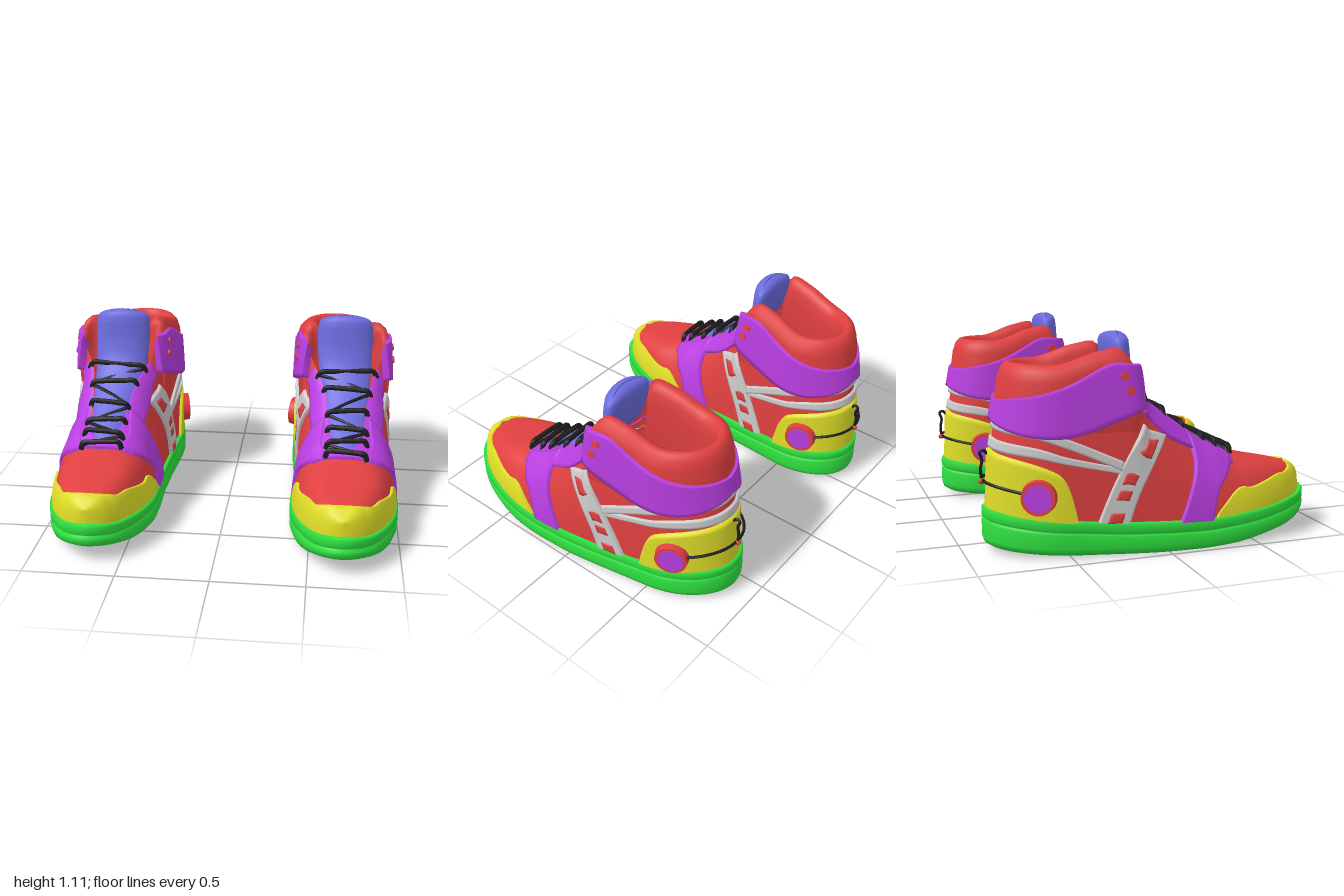
import * as THREE from 'three';
import { mergeVertices } from 'three/addons/utils/BufferGeometryUtils.js';

const RED = 0xe04040, YELLOW = 0xe0de28, GREEN = 0x2ee040, PURPLE = 0xb83ee0, BLUE = 0x6c6ce0, BLACK = 0x1c1c1c, GREY = 0xcccccc;
const V3 = (x, y, z) => new THREE.Vector3(x, y, z);
const { clamp, lerp } = THREE.MathUtils;
const HALF_PI = Math.PI / 2;

// smoothed lookup table of [position, value] pairs
function table(...pts) {
  const at = x => {
    if (x <= pts[0][0]) return pts[0][1];
    for (let i = 1; i < pts.length; i++) {
      const [x0, y0] = pts[i - 1], [x1, y1] = pts[i];
      if (x <= x1) return lerp(y0, y1, (x - x0) / (x1 - x0));
    }
    return pts[pts.length - 1][1];
  };
  return x => (at(x - 0.03) + 2 * at(x) + at(x + 0.03)) / 4;
}

// shoe profiles along its length n (heel -0.87, toe 0.88)
const centreX = table([-0.87, 0.6], [-0.5, 0.635], [-0.2, 0.67], [0, 0.688], [0.3, 0.69], [0.9, 0.675]);
const baseWidth = table([-0.87, 0.245], [-0.5, 0.252], [-0.2, 0.265], [0, 0.276], [0.2, 0.285], [0.4, 0.288], [0.9, 0.284]);
const topWidth = table([-0.87, 0.232], [-0.4, 0.222], [-0.17, 0.22], [-0.1, 0.15], [0, 0.12], [0.3, 0.08], [0.37, 0]);
const topY = table([-0.87, 0.97], [-0.6, 0.965], [-0.5, 0.98], [-0.4, 1.02], [-0.26, 1.05], [-0.2, 1.03], [-0.165, 0.95],
  [-0.135, 0.79], [0, 0.69], [0.2, 0.55], [0.4, 0.455], [0.5, 0.43], [0.6, 0.405], [0.7, 0.387], [0.8, 0.366], [0.85, 0.342], [0.885, 0.29]);
const soleTop = table([-0.88, 0.23], [-0.6, 0.2], [-0.2, 0.17], [0.2, 0.16], [0.5, 0.18], [0.8, 0.21], [0.9, 0.235]);
const soleBottom = table([-0.88, 0.03], [-0.5, 0.01], [-0.1, 0], [0.2, 0], [0.4, 0.012], [0.7, 0.05], [0.9, 0.1]);
const heelZ = table([0.15, -0.86], [0.5, -0.845], [0.65, -0.82], [0.8, -0.79], [1, -0.76]);

// a runs round the shoe: 0 heel, 4 toe, 8 heel again
function fold(a) {
  a = ((a % 8) + 8) % 8;
  return a > 4 ? [8 - a, -1] : [a, 1];
}
function lengthAt(b) {
  if (b < 1) return -0.87 + 0.37 * (1 - Math.cos(b * HALF_PI));
  if (b < 2.56) return -0.5 + (b - 1) * 0.5;
  return 0.28 + 0.6 * Math.sin((b - 2.56) / 1.44 * HALF_PI);
}
function roundAt(b) {
  if (b < 1) return Math.sin(b * HALF_PI);
  return b < 2.56 ? 1 : Math.max(0, Math.cos((b - 2.56) / 1.44 * HALF_PI));
}
function around(n) {
  if (n < -0.5) return Math.acos(clamp(1 - (n + 0.87) / 0.37, -1, 1)) / HALF_PI;
  if (n < 0.28) return 1 + (n + 0.5) / 0.5;
  return 2.56 + 1.44 * Math.asin(clamp((n - 0.28) / 0.6, -1, 1)) / HALF_PI;
}
const baseY = n => soleTop(n) - 0.03;
const heightParam = (n, y) => Math.asin(clamp((y - baseY(n)) / (topY(n) - baseY(n)), 0, 1)) / HALF_PI;

// point and normal on the skin of the upper
function skin(a, v) {
  const [b, s] = fold(a), n = lengthAt(b);
  const y = lerp(baseY(n), topY(n), Math.sin(v * HALF_PI));
  const back = heelZ(y);
  const z = n < -0.5 ? back + (n + 0.87) * (-0.5 - back) / 0.37 : n > 0 ? n * 0.975 : n;
  const power = lerp(1.15, 0.45, THREE.MathUtils.smoothstep(n, 0.1, 0.6));
  const w = lerp(topWidth(n), baseWidth(n), Math.pow(Math.max(0, Math.cos(v * HALF_PI)), power));
  return V3(centreX(z) + s * w * roundAt(b), y, z);
}
function skinNormal(a, v) {
  v = clamp(v, 0.02, 0.96);
  const e = 0.015;
  return skin(a, v + e).sub(skin(a, v - e)).cross(skin(a + e, v).sub(skin(a - e, v))).normalize();
}
// lifted point; points on the centre line stay on it so both halves weld
function lifted(a, v, off) {
  const p = skin(a, v), centred = Math.abs(p.x - centreX(p.z)) < 1e-3;
  p.addScaledVector(skinNormal(a, v), off);
  if (centred) p.x = centreX(p.z);
  return p;
}
const onSkin = (a, y, off) => lifted(a, heightParam(lengthAt(fold(a)[0]), y), off);

function mesh(name, color, geometry) {
  const m = new THREE.Mesh(geometry, new THREE.MeshStandardMaterial({ color, side: THREE.DoubleSide }));
  m.name = name;
  return m;
}
// smooth surface from a grid of points
function grid(cols) {
  const rows = cols[0].length, index = [];
  for (let i = 0; i + 1 < cols.length; i++) for (let j = 0; j + 1 < rows; j++) {
    const p = i * rows + j, q = p + rows;
    index.push(p, p + 1, q, q, p + 1, q + 1);
  }
  let g = new THREE.BufferGeometry().setFromPoints(cols.flat());
  g.setIndex(index);
  g = mergeVertices(g, 1e-4);
  g.computeVertexNormals();
  return g;
}
const steps = n => [0, 0.02, ...Array.from({ length: n - 1 }, (_, i) => (i + 1) / n), 0.98, 1].sort((p, q) => p - q);
function edge(e) {
  if (typeof e === 'function') return e;
  const c = new THREE.SplineCurve(e.map(([n, y]) => new THREE.Vector2(around(n), y)));
  return u => c.getPoint(u).toArray();
}
// raised panel between two edges given as [length, height] points
function panel(name, color, lower, upper, off, { wrap, side = 1, u = [0, 1], w = [0, 1], nu = 24, nv = 10 } = {}) {
  const lo = edge(lower), hi = edge(upper), us = steps(nu), ws = steps(nv);
  return mesh(name, color, grid(us.map((uu, i) => {
    const t = wrap ? uu * 2 - 1 : lerp(u[0], u[1], uu);
    const k = wrap === 'toe' ? 1 - Math.abs(t) : Math.abs(t);
    const [a0, y0] = lo(k), [a1, y1] = hi(k);
    const v0 = heightParam(lengthAt(a0), y0), v1 = heightParam(lengthAt(a1), y1);
    return ws.map((ww, j) => {
      const f = lerp(w[0], w[1], ww), b = lerp(a0, a1, f), v = lerp(v0, v1, f);
      const a = (wrap ? t < 0 : side < 0) ? -b : b;
      const border = (j === 0 || (j === ws.length - 1 && v < 0.995) || i === 0 || i === us.length - 1);
      return lifted(a, v, off && border ? -0.008 : off);
    });
  })));
}
const tube = (name, pts, r) => mesh(name, BLACK, new THREE.TubeGeometry(new THREE.CatmullRomCurve3(pts), 28, r, 7));

function sole() {
  // [inset, share of bottom/top, lift]; an inset of 1 closes on the centre line
  const rows = [[1, 0, 0], [0.03, 0, 0], [0.008, 0, 0.015], [0, 0, 0.04], [0, 1, -0.075], [0.012, 1, -0.066], [0.012, 1, -0.058], [0, 1, -0.05], [0, 1, -0.012], [0.01, 1, 0], [1, 1, 0]];
  return mesh('sole', GREEN, grid(Array.from({ length: 97 }, (_, i) => {
    const [b, s] = fold(i / 12), n = lengthAt(b);
    return rows.map(([inset, top, lift]) => {
      const z = n * 1.024 * (inset === 1 ? 0.965 : 1 - inset / 0.88);
      const w = inset === 1 ? 0 : (baseWidth(n) + 0.02) * roundAt(b) * (1 - inset / 0.3);
      return V3(centreX(z) + s * w, (top ? soleTop(n) : soleBottom(n)) + lift, z);
    });
  })));
}

function insole() {
  return mesh('insole', GREEN, grid(Array.from({ length: 30 }, (_, i) => {
    const b = i * 0.09, z = Math.max(lengthAt(b), -0.83);
    return [1, 0, -1].map(s => V3(centreX(z) + s * 0.21 * roundAt(b), 0.26, z));
  })));
}

// padded collar with its lining, thicker along the sides than at the heel
function collar() {
  const end = around(-0.165), cols = [];
  for (let i = 0; i <= 64; i++) {
    const a = lerp(-end, end, i / 64), n = lengthAt(Math.abs(a)), h = topY(n);
    const thick = lerp(0.85, 1.2, roundAt(Math.abs(a)) ** 2);
    cols.push([[-0.012, 0.58], [0.008, 0.66], [0.022, 0.78], [0.022, h - 0.08], [0.012, h - 0.03], [-0.008, h - 0.005], [-0.03, h],
      [-0.052, h - 0.012], [-0.074, h - 0.05], [-0.084, h - 0.12], [-0.086, 0.75], [-0.08, 0.6], [-0.07, 0.4], [-0.06, 0.25]].map(([off, y]) => {
      const v = heightParam(n, y), d = skinNormal(a, v).setY(0).normalize();
      return skin(a, v).addScaledVector(d, off < 0 ? off * thick : off);
    }));
  }
  const cap = col => {
    const c = col.reduce((s, p) => s.add(p), V3(0, 0, 0)).divideScalar(col.length);
    return col.map(() => c.clone());
  };
  return mesh('collar', RED, grid([cap(cols[0]), ...cols, cap(cols[64])]));
}

function tongue() {
  // [z, y, half width, half thickness, droop of the sides]
  const rings = [[0.4, 0.425, 0.05, 0.008, 0], [0.3, 0.49, 0.09, 0.018, 0], [0.15, 0.58, 0.115, 0.022, 0], [0, 0.68, 0.13, 0.025, 0], [-0.1, 0.765, 0.148, 0.03, 0],
    [-0.155, 0.86, 0.157, 0.042, 0], [-0.18, 0.96, 0.162, 0.05, 0.005], [-0.19, 1.03, 0.162, 0.055, 0.01], [-0.193, 1.075, 0.155, 0.053, 0.018],
    [-0.194, 1.097, 0.145, 0.042, 0.022], [-0.194, 1.108, 0.13, 0.024, 0.025], [-0.194, 1.111, 0.11, 0.003, 0.02]];
  const cols = rings.map(([z, y, w, h, droop], i) => {
    const p = rings[Math.max(0, i - 1)], q = rings[Math.min(rings.length - 1, i + 1)];
    const dir = new THREE.Vector2(q[0] - p[0], q[1] - p[1]).normalize();
    return Array.from({ length: 33 }, (_, j) => {
      const t = -j / 32 * Math.PI * 2, c = Math.cos(t);
      const x = Math.sign(c) * Math.pow(Math.abs(c), 0.7), k = h * Math.sin(t) - 0.025 * x * x;
      return V3(centreX(z) - 0.006 + w * x, y - dir.x * k - droop * x * x, z + dir.y * k);
    });
  });
  return mesh('tongue', BLUE, grid(cols));
}

// crossbars with thinner slanted strands between them
function laces() {
  const g = new THREE.Group();
  g.name = 'laces';
  const rows = [-0.095, 0.005, 0.13, 0.235, 0.32, 0.395];
  const strand = (z0, z1, rise, r) => tube('lace', [-1.15, -1, -0.5, 0, 0.5, 1, 1.15].map(k => {
    const z = lerp(z0, z1, (k + 1.15) / 2.3), w = Math.max(topWidth(z), 0.1);
    return V3(centreX(z) + k * w, topY(z) + (Math.abs(k) > 1 ? -0.005 : rise + 0.006 * (1 - k * k)), z);
  }), r);
  rows.forEach((z, i) => {
    const slant = i % 2 ? 0.008 : -0.008;
    g.add(strand(z - slant, z + slant, 0.034, 0.015));
    if (i) g.add(i % 2 ? strand(rows[i - 1], z, 0.012, 0.01) : strand(z, rows[i - 1], 0.012, 0.01));
  });
  return g;
}

function disc(name, color, a, y, radius, thick, off) {
  const m = mesh(name, color, new THREE.CylinderGeometry(radius * 0.94, radius, thick, 32));
  const d = skinNormal(a, heightParam(lengthAt(fold(a)[0]), y));
  m.position.copy(onSkin(a, y, off));
  m.quaternion.setFromUnitVectors(V3(0, 1, 0), d);
  return m;
}

function buildShoe() {
  const g = new THREE.Group();
  g.add(sole(), insole(), collar(), tongue(), laces());
  g.add(panel('upper', RED, u => [4 * u, 0], u => {
    const n = lengthAt(4 * u);
    return [4 * u, n < -0.15 ? Math.min(0.9, topY(n)) : 2];
  }, 0, { wrap: 'heel', nu: 120, nv: 16 }));
  g.add(panel('toeCap', YELLOW, [[0.24, 0], [0.36, 0], [0.48, 0], [0.6, 0], [0.72, 0], [0.81, 0], [0.88, 0]],
    [[0.26, 0.17], [0.36, 0.275], [0.42, 0.305], [0.49, 0.3], [0.66, 0.335], [0.78, 0.352], [0.88, 0.5]], 0.012, { wrap: 'toe', nu: 72, nv: 14 }));
  g.add(panel('heelCounter', YELLOW, [[-0.87, 0], [-0.77, 0], [-0.65, 0], [-0.54, 0], [-0.46, 0]],
    [[-0.87, 0.53], [-0.76, 0.5], [-0.6, 0.45], [-0.52, 0.38], [-0.47, 0.2]], 0.018, { wrap: 'heel', nu: 48 }));
  g.add(panel('ankleStrap', PURPLE, [[-0.87, 0.68], [-0.72, 0.615], [-0.5, 0.61], [-0.3, 0.67], [-0.13, 0.74]],
    [[-0.87, 0.78], [-0.72, 0.82], [-0.5, 0.88], [-0.3, 0.975], [-0.16, 0.96]], 0.036, { wrap: 'heel', nu: 64 }));
  // side stripes that sweep round the heel
  g.add(panel('upperStripe', GREY, [[-0.87, 0.635], [-0.7, 0.61], [-0.5, 0.55], [-0.23, 0.43]],
    [[-0.87, 0.69], [-0.7, 0.66], [-0.5, 0.6], [-0.23, 0.48]], 0.016, { wrap: 'heel', nu: 60, nv: 4 }));
  g.add(panel('lowerStripe', GREY, [[-0.87, 0.535], [-0.7, 0.515], [-0.5, 0.475], [-0.24, 0.42]],
    [[-0.87, 0.59], [-0.7, 0.565], [-0.5, 0.51], [-0.24, 0.45]], 0.014, { wrap: 'heel', nu: 60, nv: 4 }));

  for (const side of [1, -1]) {
    g.add(panel('eyestay', PURPLE, [[-0.13, 0.72], [0, 0.59], [0.13, 0.52], [0.3, 0.44], [0.4, 0.41]],
      [[-0.13, 2], [0, 2], [0.13, 2], [0.3, 2], [0.41, 2]], 0.016, { side }));
    g.add(panel('midfootBand', PURPLE, [[0.03, 0.1], [0.11, 0.3], [0.15, 0.45], [0.13, 0.6]],
      [[0.23, 0.1], [0.27, 0.28], [0.35, 0.38], [0.41, 0.44]], 0.018, { side }));
    // ladder stripe with windows showing the upper
    const rear = [[-0.38, 0.15], [-0.32, 0.3], [-0.25, 0.45], [-0.13, 0.67]];
    const front = [[-0.21, 0.15], [-0.17, 0.28], [-0.11, 0.41], [0, 0.6]];
    g.add(panel('ladderStripe', GREY, rear, front, 0.015, { side }));
    for (const u of [[0.07, 0.19], [0.31, 0.42], [0.48, 0.6], [0.8, 0.93]])
      g.add(panel('ladderWindow', RED, rear, front, 0.017, { side, u, w: [0.28, 0.74], nu: 4, nv: 4 }));
    const a = side * around(-0.66);
    g.add(disc('heelDisc', RED, a, 0.32, 0.092, 0.05, 0.028), disc('heelDiscCentre', PURPLE, a, 0.32, 0.074, 0.02, 0.046));
    // strap rivets
    for (const [n, y] of [[-0.235, 0.91], [-0.21, 0.84]]) g.add(disc('strapRivet', RED, side * around(n), y, 0.022, 0.02, 0.034));
  }
  // cord round the heel with a hook and bead
  const reach = around(-0.7);
  g.add(tube('heelCord', Array.from({ length: 13 }, (_, i) => {
    const t = i / 6 - 1;
    return onSkin(t * reach, 0.365 - 0.03 * t * t, 0.036);
  }), 0.008));
  g.add(tube('heelHook', [[0.36, 0.038], [0.42, 0.046], [0.47, 0.04], [0.505, 0.055], [0.515, 0.035], [0.5, 0.015]].map(([y, o]) => onSkin(0, y, o)), 0.008));
  const bead = mesh('heelBead', RED, new THREE.SphereGeometry(0.017, 12, 8));
  bead.position.copy(onSkin(0, 0.36, 0.04));
  g.add(bead);
  return g;
}

// mirrored copy with baked geometry
function mirrored(shoe) {
  const g = new THREE.Group();
  shoe.updateMatrixWorld(true);
  shoe.traverse(o => {
    if (!o.isMesh) return;
    const geo = o.geometry.clone().applyMatrix4(o.matrixWorld).applyMatrix4(new THREE.Matrix4().makeScale(-1, 1, 1));
    geo.index.array.reverse();
    const m = new THREE.Mesh(geo, o.material);
    m.name = o.name;
    g.add(m);
  });
  return g;
}

export function createModel() {
  const model = new THREE.Group();
  model.name = 'sneakers';
  const left = buildShoe(), right = mirrored(left);
  left.name = 'leftShoe';
  right.name = 'rightShoe';
  model.add(left, right);
  return model;
}
